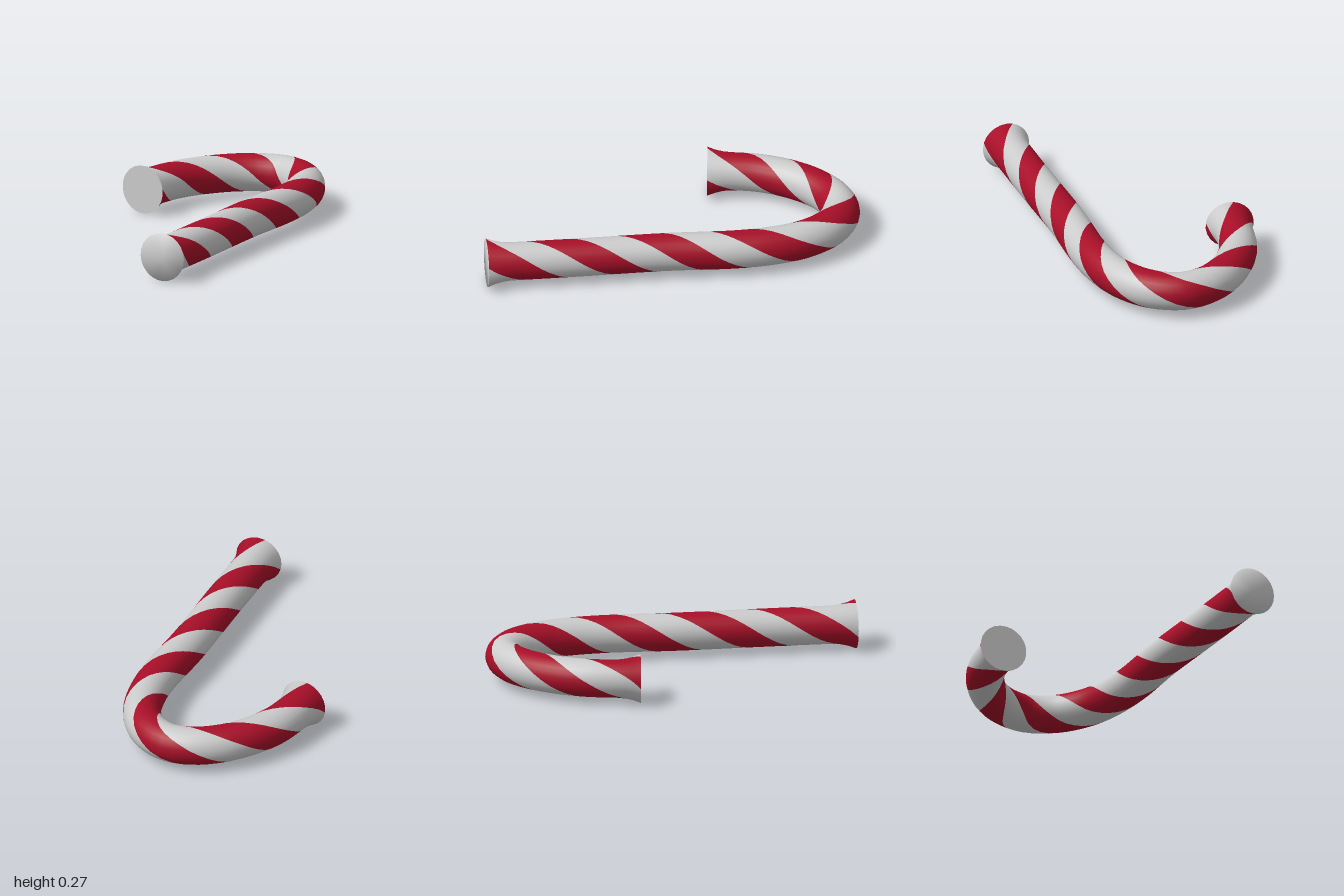
import * as THREE from 'three';

const CENTRE_Y = 0.135, RADIUS = 0.105, FLARE = 0.03, FLARE_LENGTH = 0.14;
const SECTIONS = 72;        // cross-sections along the cane
const STRIPES = 4;          // red, white, red, white
const STEPS = 6;            // facets across each stripe
const HALF_PITCH = 0.5;     // length of half a turn of the helix
const PHASE = 0.42;         // length at which a red stripe is centred on top

// Centre line (x, z): straight leg, round the crook, down to the short tip
const path = new THREE.CatmullRomCurve3([
  [0.56, 0.96], [0.44, 0.48], [0.315, 0], [0.235, -0.38], [0.17, -0.57], [0.08, -0.73],
  [-0.06, -0.855], [-0.22, -0.895], [-0.35, -0.845], [-0.46, -0.735], [-0.54, -0.58],
  [-0.582, -0.41], [-0.583, -0.26], [-0.565, -0.11],
].map(([x, z]) => new THREE.Vector3(x, CENTRE_Y, z)), false, 'centripetal');
path.arcLengthDivisions = 600;
const LENGTH = path.getLength();
const UP = new THREE.Vector3(0, 1, 0);

// Frame of the cross-section at u: position, tangent, right-hand side and radius
function section(u) {
  const s = u * LENGTH;
  const tangent = path.getTangentAt(u);
  const end = Math.max(0, 1 - Math.min(s, LENGTH - s) / FLARE_LENGTH);
  return {
    s, tangent,
    position: path.getPointAt(u),
    right: tangent.clone().cross(UP).normalize(),
    radius: RADIUS + FLARE * end * end,
  };
}

// Outward direction at an angle measured from the top towards the right
function outward(f, angle) {
  return UP.clone().multiplyScalar(Math.cos(angle)).addScaledVector(f.right, Math.sin(angle));
}

function geometryFrom(positions, normals, index) {
  const g = new THREE.BufferGeometry();
  g.setAttribute('position', new THREE.Float32BufferAttribute(positions, 3));
  g.setAttribute('normal', new THREE.Float32BufferAttribute(normals, 3));
  g.setIndex(index);
  return g;
}

// One helical stripe: a quarter of the tube, turning as it follows the path
function stripeGeometry(k) {
  const positions = [], normals = [], index = [];
  const width = Math.PI * 2 / STRIPES, row = STEPS + 1;
  for (let i = 0; i <= SECTIONS; i++) {
    const f = section(i / SECTIONS);
    const twist = (f.s - PHASE) / HALF_PITCH * Math.PI;
    for (let j = 0; j <= STEPS; j++) {
      const n = outward(f, twist + (k - 0.5 + j / STEPS) * width);
      positions.push(...f.position.clone().addScaledVector(n, f.radius).toArray());
      normals.push(...n.toArray());
      if (i < SECTIONS && j < STEPS) {
        const a = i * row + j, b = a + 1, c = a + row, d = c + 1;
        index.push(a, b, c, b, d, c);
      }
    }
  }
  return geometryFrom(positions, normals, index);
}

// Flat end disc; softness tilts the rim normals for rounded shading
function capGeometry(u, softness) {
  const f = section(u), sides = STRIPES * STEPS;
  const axis = f.tangent.clone().multiplyScalar(u === 0 ? -1 : 1);
  const twist = (f.s - PHASE) / HALF_PITCH * Math.PI + Math.PI / STRIPES;
  const positions = f.position.toArray(), normals = axis.toArray(), index = [];
  for (let j = 0; j < sides; j++) {
    const out = outward(f, twist + j / sides * Math.PI * 2);
    positions.push(...f.position.clone().addScaledVector(out, f.radius).toArray());
    normals.push(...axis.clone().addScaledVector(out, softness).normalize().toArray());
    const a = j + 1, b = (j + 1) % sides + 1;
    if (u === 0) index.push(0, b, a);
    else index.push(0, a, b);
  }
  return geometryFrom(positions, normals, index);
}

export function createModel() {
  const cane = new THREE.Group();
  cane.name = 'candyCane';
  const white = new THREE.MeshStandardMaterial({ color: 0xcccccc });
  const red = new THREE.MeshStandardMaterial({ color: 0xa80f28 });
  const add = (name, geometry, material) => {
    const mesh = new THREE.Mesh(geometry, material);
    mesh.name = name;
    cane.add(mesh);
  };

  // Alternating helical stripes
  for (let k = 0; k < STRIPES; k++) {
    add(k % 2 ? 'whiteStripe' : 'redStripe', stripeGeometry(k), k % 2 ? white : red);
  }

  // Flared ends
  add('legEnd', capGeometry(0, 0.9), white);
  add('crookEnd', capGeometry(1, 0), white);
  return cane;
}
